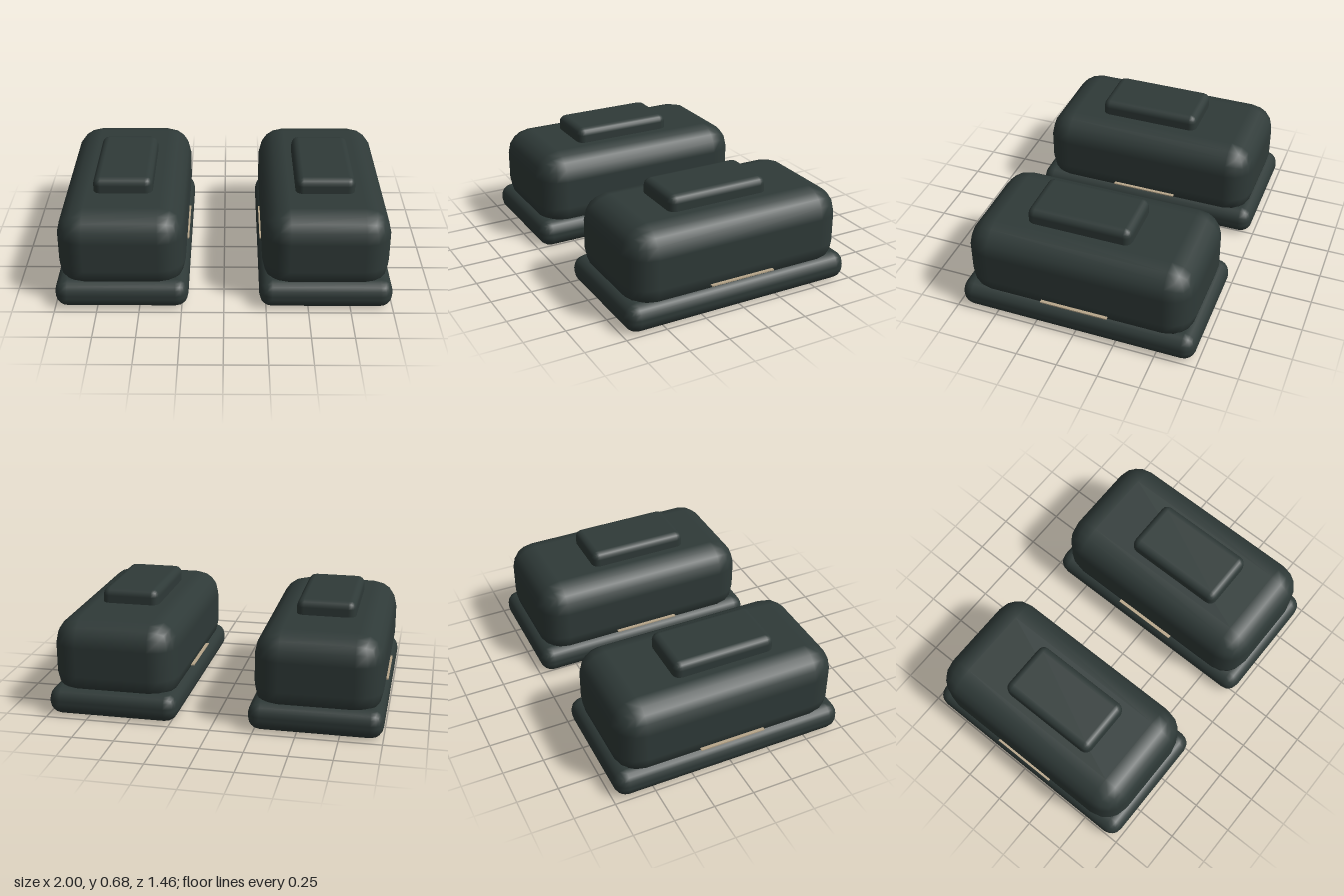
import * as THREE from 'three';
import { RoundedBoxGeometry } from 'three/addons/geometries/RoundedBoxGeometry.js';

export function createModel() {
  const model = new THREE.Group();
  const charcoal = new THREE.MeshStandardMaterial({ color: 0x2f3a38 });
  charcoal.name = 'charcoal';
  const tan = new THREE.MeshStandardMaterial({ color: 0xb8a68a });
  tan.name = 'tan';

  // rounded block given by its size, corner radius and centre
  function block(parent, name, size, radius, pos) {
    const mesh = new THREE.Mesh(new RoundedBoxGeometry(...size, 2, radius), charcoal);
    mesh.name = name;
    mesh.position.set(...pos);
    parent.add(mesh);
  }

  for (const side of [1, -1]) {
    const boot = new THREE.Group();
    boot.name = side > 0 ? 'leftBoot' : 'rightBoot';
    boot.position.x = side * 0.605;

    block(boot, 'sole', [0.79, 0.17, 1.46], 0.076, [0, 0.085, 0]);
    block(boot, 'upper', [0.756, 0.5, 1.39], 0.16, [0, 0.335, 0]);
    block(boot, 'topPad', [0.356, 0.21, 0.636], 0.045, [0, 0.571, 0.042]);

    // thin welt line along both flanks, just above the sole
    for (const s of [1, -1]) {
      const welt = new THREE.Mesh(new THREE.BoxGeometry(0.04, 0.007, 0.412), tan);
      welt.name = 'weltStripe';
      welt.position.set(s * 0.365, 0.187, 0);
      boot.add(welt);
    }
    model.add(boot);
  }
  return model;
}
